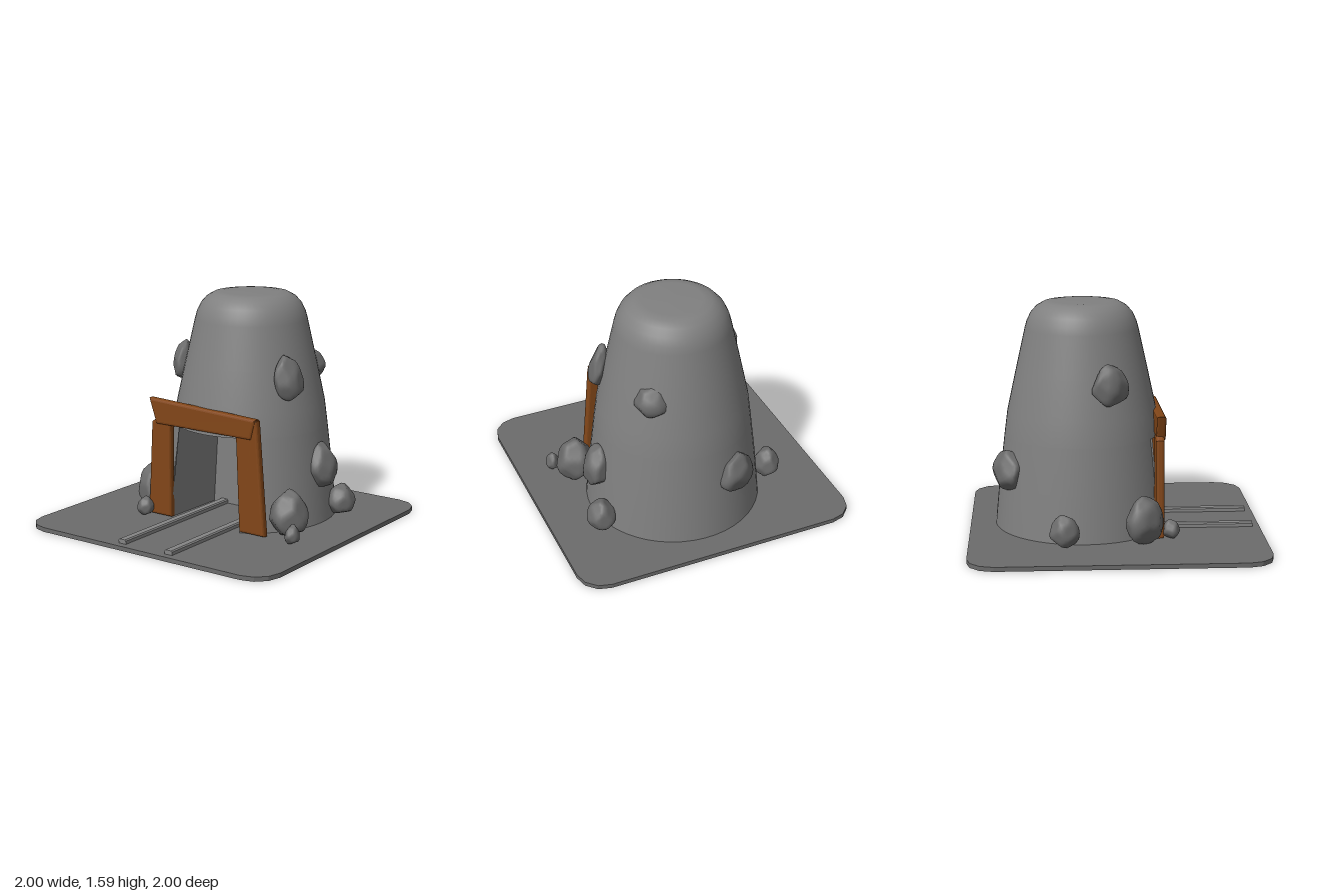
import * as THREE from 'three';
import { mergeVertices } from 'three/addons/utils/BufferGeometryUtils.js';

const EARTH = new THREE.MeshStandardMaterial({ color: 0x6b6b6b });
const ROCK = new THREE.MeshStandardMaterial({ color: 0x6b6b6b });
const IRON = new THREE.MeshStandardMaterial({ color: 0x858585 });
const SHELL = new THREE.MeshStandardMaterial({ color: 0x808080, side: THREE.DoubleSide });
const WOOD = new THREE.MeshStandardMaterial({ color: 0x824618 });

function add(parent, name, geometry, material) {
  const mesh = new THREE.Mesh(geometry, material);
  mesh.name = name;
  parent.add(mesh);
  return mesh;
}

const toVectors = (points) => points.map(([x, y]) => new THREE.Vector2(x, y));

// Flat slab with rounded corners
function groundGeometry() {
  const r = 0.18, pts = [];
  for (let c = 0; c < 4; c++) {
    const cx = c === 0 || c === 3 ? 1 - r : r - 1;
    const cy = c < 2 ? 1 - r : r - 1;
    for (let i = 0; i <= 3; i++) {
      const a = (c + i / 3) * Math.PI / 2;
      pts.push(new THREE.Vector2(cx + r * Math.cos(a), cy + r * Math.sin(a)));
    }
  }
  const g = new THREE.ExtrudeGeometry(new THREE.Shape(pts), { depth: 0.03, bevelEnabled: false });
  return g.rotateX(-Math.PI / 2);
}

// Plank with softened edges, drawn by its front outline
function plankGeometry(outline, zBack, zFront) {
  const b = 0.018;
  const g = new THREE.ExtrudeGeometry(new THREE.Shape(toVectors(outline)), {
    depth: zFront - zBack - 2 * b, bevelThickness: b, bevelSize: b, bevelOffset: -b, bevelSegments: 3,
  });
  return g.translate(0, 0, zBack + b);
}

// Rail with chamfered top edges
function railGeometry(length) {
  const section = [[-0.03, 0], [0.03, 0], [0.03, 0.022], [0.022, 0.03], [-0.022, 0.03], [-0.03, 0.022]];
  return new THREE.ExtrudeGeometry(new THREE.Shape(toVectors(section)), { depth: length, bevelEnabled: false });
}

// Tunnel lining: side walls, roof and end wall, open at the mouth
function tunnelGeometry() {
  const front = [[-0.265, 0.03, 0.3], [-0.225, 0.67, 0.25], [0.035, 0.67, 0.315], [0.305, 0.67, 0.25], [0.33, 0.03, 0.3]];
  const back = front.map(([x, y]) => [0.035 + (x - 0.035) * 0.97, y > 0.5 ? y - 0.015 : y, -0.2]);
  const pos = [];
  for (let i = 0; i < 4; i++) {
    const [a, b, c, d] = [front[i], front[i + 1], back[i + 1], back[i]];
    pos.push(...a, ...d, ...b, ...b, ...d, ...c);
  }
  for (let i = 1; i < 4; i++) pos.push(...back[0], ...back[i + 1], ...back[i]);
  const g = new THREE.BufferGeometry();
  g.setAttribute('position', new THREE.Float32BufferAttribute(pos, 3));
  g.computeVertexNormals();
  return g;
}

// Boulder: a ball cut by seeded planes, narrowed to the top, turned and fitted to a size
function rockGeometry(seed, size, turn) {
  let s = seed * 7919 + 17;
  const rand = () => (s = (s * 16807) % 2147483647) / 2147483647;
  for (let i = 0; i < 4; i++) rand();
  let g = new THREE.IcosahedronGeometry(1, 5);
  g.deleteAttribute('uv');
  g.deleteAttribute('normal');
  g = mergeVertices(g, 1e-4);
  const planes = [];
  for (let i = 0; i < 14; i++) {
    const y = 1 - 2 * (i + 0.5) / 14, a = i * 2.4 + rand(), q = Math.sqrt(1 - y * y);
    planes.push([new THREE.Vector3(q * Math.cos(a), y, q * Math.sin(a)), 0.83 + 0.08 * rand()]);
  }
  const p = g.attributes.position, v = new THREE.Vector3();
  for (let i = 0; i < p.count; i++) {
    v.fromBufferAttribute(p, i);
    const cut = Math.min(1, ...planes.map(([n, d]) => d / Math.max(v.dot(n), 0.01)));
    v.multiplyScalar(cut);
    const taper = 1 - 0.22 * v.y;
    p.setXYZ(i, v.x * taper, v.y, v.z * taper * (turn ? 0.65 : 1));
  }
  g.rotateY(turn);
  g.center();
  const box = g.boundingBox.getSize(new THREE.Vector3());
  g.scale(2 * size[0] / box.x, 2 * size[1] / box.y, 2 * size[2] / box.z);
  g.computeVertexNormals();
  return g;
}

export function createModel() {
  const model = new THREE.Group();
  model.name = 'mineEntrance';

  add(model, 'ground', groundGeometry(), EARTH);

  // Hill: lower ring leaves a 60 degree gap for the tunnel mouth
  const hill = new THREE.Group();
  hill.name = 'hill';
  hill.position.set(0.05, 0, -0.22);
  hill.rotation.y = -0.035;
  model.add(hill);
  const step = Math.PI / 24;
  const lower = [[0.607, 0.025], [0.575, 0.35], [0.537, 0.67]];
  const upper = [[0.537, 0.67], [0.516, 0.83], [0.455, 1.11], [0.39, 1.4], [0.376, 1.45],
    [0.35, 1.505], [0.31, 1.55], [0.26, 1.578], [0.2, 1.586], [0, 1.588]];
  add(hill, 'hillBase', new THREE.LatheGeometry(toVectors(lower), 40, 4 * step, 40 * step), SHELL);
  add(hill, 'hillTop', new THREE.LatheGeometry(toVectors(upper), 48), SHELL);

  add(model, 'tunnel', tunnelGeometry(), SHELL);

  // Timber door frame
  const frame = new THREE.Group();
  frame.name = 'frame';
  model.add(frame);
  add(frame, 'rightPost', plankGeometry(
    [[-0.45, 0.035], [-0.255, 0.035], [-0.255, 0.72], [-0.37, 0.73], [-0.415, 0.7]], 0.26, 0.318), WOOD);
  add(frame, 'leftPost', plankGeometry(
    [[0.325, 0.035], [0.53, 0.035], [0.465, 0.82], [0.44, 0.83], [0.295, 0.72]], 0.26, 0.318), WOOD);
  add(frame, 'lintel', plankGeometry(
    [[-0.37, 0.69], [0.425, 0.69], [0.46, 0.83], [-0.43, 0.867]], 0.265, 0.328), WOOD);

  // Two rails running out of the tunnel
  for (const [name, x] of [['rightRail', -0.165], ['leftRail', 0.22]]) {
    add(model, name, railGeometry(1.15), IRON).position.set(x, 0.03, -0.2);
  }

  // Boulders: centre, half size, turn about y, lean about z
  const rocks = [
    [[0.495, 1.065, -0.015], [0.07, 0.155, 0.1], 0.8, 0.2],
    [[0.31, 1.065, -0.52], [0.135, 0.12, 0.125], 0, 0],
    [[0.63, 0.43, -0.25], [0.085, 0.16, 0.12], 0, 0.12],
    [[0.675, 0.15, -0.43], [0.095, 0.11, 0.105], 0, 0],
    [[0.635, 0.19, 0.17], [0.13, 0.163, 0.135], 0, 0],
    [[0.755, 0.1, 0.31], [0.046, 0.068, 0.058], 0, 0],
    [[-0.44, 0.1, 0.365], [0.058, 0.067, 0.056], 0, 0],
    [[-0.525, 0.19, 0.18], [0.125, 0.163, 0.13], -0.6, 0],
    [[-0.62, 0.15, -0.36], [0.09, 0.112, 0.1], 0, 0],
    [[-0.4, 1.08, -0.045], [0.082, 0.142, 0.125], -0.8, -0.05],
    [[-0.195, 0.465, -0.735], [0.138, 0.14, 0.105], 0.6, 0],
  ];
  rocks.forEach(([at, size, turn, lean], i) => {
    const rock = add(model, `rock${i + 1}`, rockGeometry(i + 1, size, turn), ROCK);
    rock.position.set(...at);
    rock.rotation.z = lean;
  });

  return model;
}
